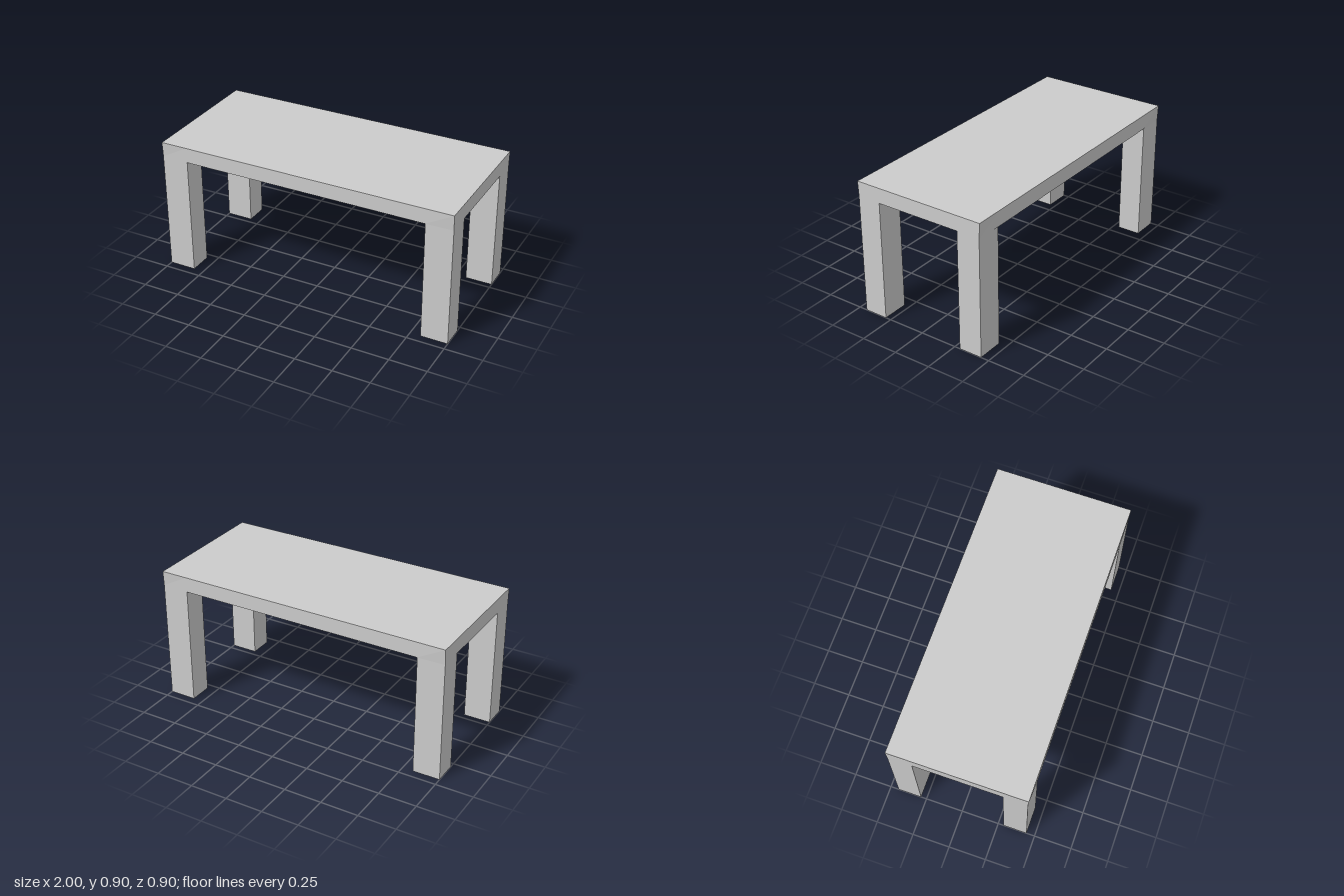
import * as THREE from 'three';

export function createModel() {
  const table = new THREE.Group();
  table.name = 'table';
  const material = new THREE.MeshStandardMaterial({ color: 0xcccccc, flatShading: true });

  // Tabletop slab; the underside eases in at the ends to meet the legs
  const topGeometry = new THREE.BoxGeometry(2, 0.1, 0.9, 3, 1, 1);
  const p = topGeometry.attributes.position;
  for (let i = 0; i < p.count; i++) {
    const atEnd = Math.abs(p.getX(i)) > 0.9;
    if (!atEnd) p.setX(i, Math.sign(p.getX(i)) * 0.82);
    if (atEnd && p.getY(i) < 0) p.setZ(i, Math.sign(p.getZ(i)) * 0.445);
  }
  topGeometry.computeVertexNormals();
  const top = new THREE.Mesh(topGeometry, material);
  top.name = 'tabletop';
  top.position.y = 0.85;
  table.add(top);

  // Four square-cut legs, flush with the corners
  const legGeometry = new THREE.BoxGeometry(0.18, 0.8, 0.157);
  for (const [xName, sx] of [['Left', 1], ['Right', -1]]) {
    for (const [zName, sz] of [['front', 1], ['back', -1]]) {
      const leg = new THREE.Mesh(legGeometry, material);
      leg.name = `${zName}${xName}Leg`;
      leg.position.set(sx * 0.91, 0.4, sz * 0.3665);
      table.add(leg);
    }
  }
  return table;
}
